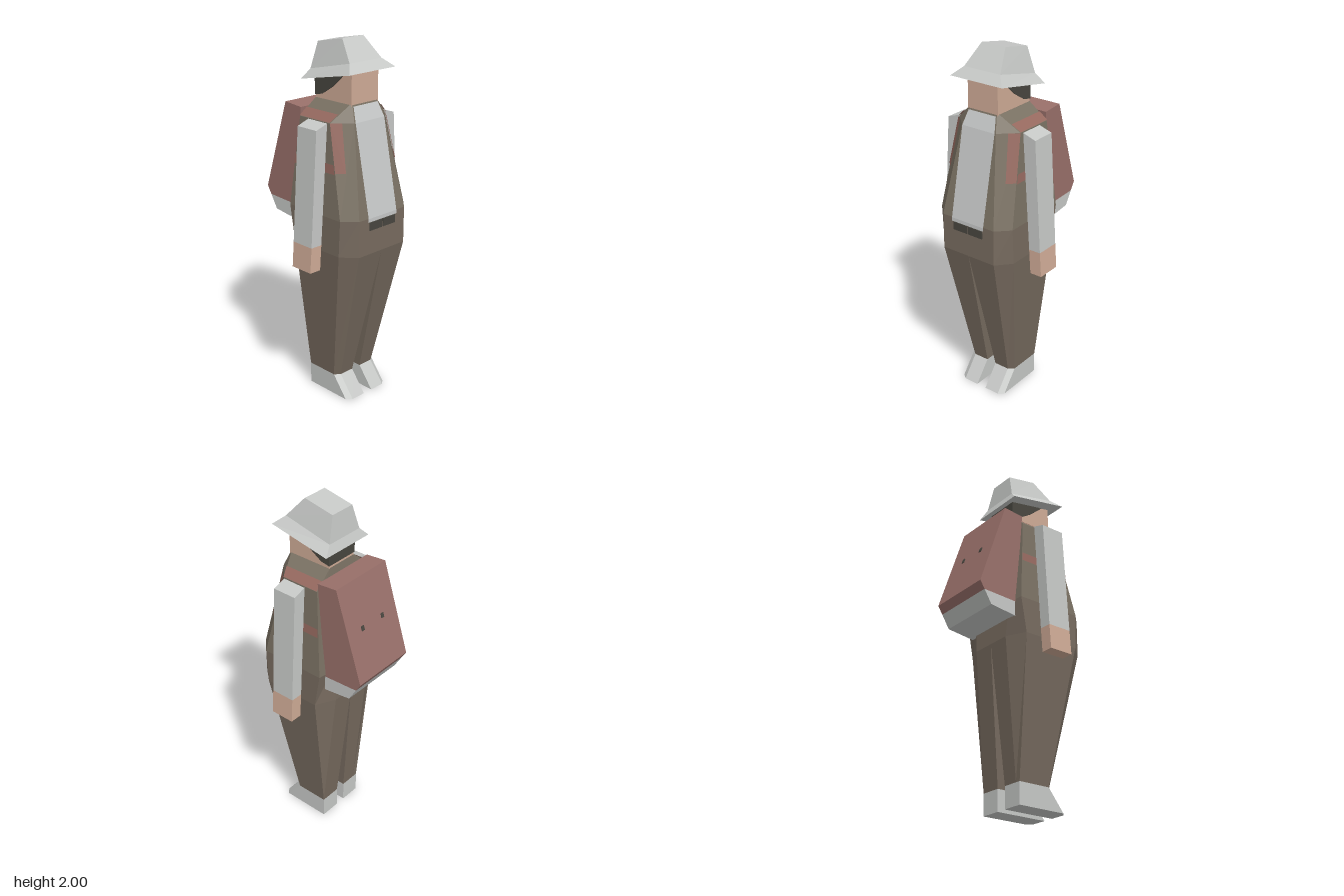
import * as THREE from 'three';

const mat = (name, color, side = THREE.FrontSide) => {
  const m = new THREE.MeshStandardMaterial({ color, side });
  m.name = name;
  return m;
};

// Flat-shaded mesh from a list of triangle corners
function facets(name, corners, material) {
  const g = new THREE.BufferGeometry();
  g.setAttribute('position', new THREE.Float32BufferAttribute(corners.flat(), 3));
  g.computeVertexNormals();
  const mesh = new THREE.Mesh(g, material);
  mesh.name = name;
  return mesh;
}

// Skin a stack of rings, capped at both ends; side -1 mirrors across x
function loft(name, rings, material, side = 1) {
  const r = rings.map(ring => {
    const pts = ring.map(([x, y, z]) => [x * side, y, z]);
    return side < 0 ? pts.reverse() : pts;
  });
  const out = [], n = r[0].length, top = r[r.length - 1];
  for (let k = 0; k + 1 < r.length; k++) {
    for (let i = 0; i < n; i++) {
      const j = (i + 1) % n;
      const a = r[k][i], b = r[k][j], c = r[k + 1][j], d = r[k + 1][i];
      out.push(a, b, c, a, c, d);
    }
  }
  for (let i = 1; i + 1 < n; i++) {
    out.push(top[0], top[i], top[i + 1], r[0][0], r[0][i + 1], r[0][i]);
  }
  return facets(name, out, material);
}

// Rectangle ring whose front and back edges can sit at different heights
const rect = (x0, x1, zb, zf, yf, yb = yf) =>
  [[x1, yf, zf], [x1, yb, zb], [x0, yb, zb], [x0, yf, zf]];

const mix = (a, b, t) => a.map((v, i) => v + (b[i] - v) * t);

export function createModel() {
  const group = new THREE.Group();
  group.name = 'hiker';
  const add = (...meshes) => group.add(...meshes);

  const trousers = mat('trouser brown', 0x776b5f);
  const vest = mat('vest olive', 0x7a7163);
  const cloth = mat('pale grey cloth', 0xc6c8c6);
  const shirt = mat('shirt front', 0xc6c8c8, THREE.DoubleSide);
  const skin = mat('skin', 0xcfab96);
  const packRed = mat('pack red brown', 0x99706a);
  const strapRed = mat('strap red brown', 0x96695f, THREE.DoubleSide);
  const dark = mat('dark', 0x48463f, THREE.DoubleSide);

  // Torso sections: height, side x, side front z, side back z, front x/z, back x/z
  const sections = [
    [0.9, 0.24, 0.27, -0.07, 0.17, 0.35, 0.13, -0.125],
    [1.1, 0.24, 0.28, -0.105, 0.17, 0.35, 0.15, -0.115],
    [1.59, 0.2, 0.165, -0.06, 0.11, 0.25, 0.15, -0.062],
    [1.675, 0.1, 0.205, -0.048, 0.09, 0.215, 0.09, -0.05],
  ];
  const half = ([y, x, zf, zb, fx, fz, bx, bz]) =>
    [[fx, y, fz], [x, y, zf], [x, y, zb], [bx, y, bz]];
  const halves = sections.map(half);
  const rings = halves.map(h => [...h, ...h.map(([x, y, z]) => [-x, y, z]).reverse()]);
  add(loft('hips', rings.slice(0, 2), trousers));
  add(loft('vest', rings.slice(1), vest));

  // Patch lying on one torso facet; u runs front to back, v upwards
  function patch(name, k, i, [u0, u1], [v0, v1], side, material) {
    const at = (u, v) => {
      const p = mix(mix(halves[k][i], halves[k][i + 1], u),
        mix(halves[k + 1][i], halves[k + 1][i + 1], u), v);
      return new THREE.Vector3(p[0], p[1], p[2]);
    };
    const q = [at(u0, v0), at(u1, v0), at(u1, v1), at(u0, v1)];
    const n = q[1].clone().sub(q[0]).cross(q[3].clone().sub(q[0])).normalize();
    const [a, b, c, d] = q.map(p => p.addScaledVector(n, 0.005).toArray())
      .map(([x, y, z]) => [x * side, y, z]);
    return facets(name, side > 0 ? [a, b, c, a, c, d] : [a, c, b, a, d, c], material);
  }

  for (const s of [1, -1]) {
    const label = s > 0 ? 'left' : 'right';

    // Leg tapers from the hips to the ankle
    const legTop = [[0, 0.9, 0.35], ...halves[0], [0, 0.9, -0.125]];
    const ankle = [[0.03, 0.12, 0.165], [0.12, 0.12, 0.165], [0.15, 0.12, 0.14],
      [0.15, 0.12, -0.05], [0.12, 0.12, -0.05], [0.03, 0.12, -0.05]];
    add(loft(label + 'Leg', [ankle, legTop], trousers, s));

    // Shoe with a sloping toe
    const sole = ankle.map(([x, , z]) => [x, 0, z > 0 ? z + 0.095 : z]);
    add(loft(label + 'Shoe', [sole, ankle], cloth, s));

    // Sleeve and hand
    const wrist = rect(0.255, 0.325, 0.015, 0.155, 0.94);
    const shoulder = rect(0.21, 0.285, 0.015, 0.155, 1.59)
      .map(([x, y, z]) => [x, x > 0.25 ? 1.565 : y, z]);
    add(loft(label + 'Sleeve', [wrist, shoulder], cloth, s));
    add(loft(label + 'Hand', [rect(0.265, 0.335, 0.015, 0.155, 0.8), wrist], skin, s));

    // Pack strap over the shoulder, down the chest and round the side
    add(patch(label + 'ShoulderStrap', 2, 1, [0, 1], [0, 0.45], s, strapRed));
    add(patch(label + 'ChestStrap', 1, 0, [0.5, 1], [0.49, 1], s, strapRed));
    add(patch(label + 'SideStrap', 1, 1, [0, 1], [0.48, 0.58], s, strapRed));

    // Belt plate
    const belt = new THREE.Mesh(new THREE.BoxGeometry(0.092, 0.045, 0.008), dark);
    belt.name = label + 'BeltPlate';
    belt.position.set(s * 0.05, 1.055, 0.351);
    add(belt);

    // Pack button, tilted with the back of the pack
    const button = new THREE.Mesh(new THREE.BoxGeometry(0.02, 0.026, 0.006), dark);
    button.name = label + 'PackButton';
    button.position.set(s * 0.08, 1.4, -0.26);
    button.rotation.x = 0.31;
    add(button);
  }

  // Shirt panel following the chest
  const panel = [[0.105, 1.08, 0.354], [0.105, 1.1, 0.354], [0.105, 1.59, 0.254], [0.088, 1.668, 0.221]];
  const strip = [];
  for (let i = 0; i < 3; i++) {
    const [p, q] = [panel[i], panel[i + 1]];
    const [pl, ql] = [p, q].map(([x, y, z]) => [-x, y, z]);
    strip.push(pl, p, q, pl, q, ql);
  }
  add(facets('shirtPanel', strip, shirt));

  // Head, and hair wrapping its sides and back
  add(loft('head', [rect(-0.096, 0.096, -0.05, 0.215, 1.65), rect(-0.096, 0.096, -0.05, 0.215, 1.85)], skin));
  const across = (w, profile) => [-w, w].map(x => profile.map(([z, y]) => [x, y, z]));
  add(loft('hair', across(0.1, [[0.16, 1.82], [0.08, 1.75], [0, 1.7], [-0.054, 1.69], [-0.054, 1.82]]), dark));

  // Tilted hat: flared brim and tapered crown
  add(loft('hat', [
    rect(-0.165, 0.165, -0.09, 0.27, 1.845, 1.775),
    rect(-0.115, 0.115, -0.07, 0.218, 1.89, 1.825),
    rect(-0.075, 0.075, -0.055, 0.125, 2.0, 1.965),
  ], cloth));

  // Backpack with a pale base
  add(loft('backpack', across(0.195, [[-0.06, 1.635], [-0.105, 1.085], [-0.315, 1.095], [-0.343, 1.14], [-0.18, 1.645]]), packRed));
  add(loft('packBase', across(0.195, [[-0.105, 1.085], [-0.105, 1.0], [-0.27, 1.02], [-0.315, 1.095]]), cloth));

  return group;
}
